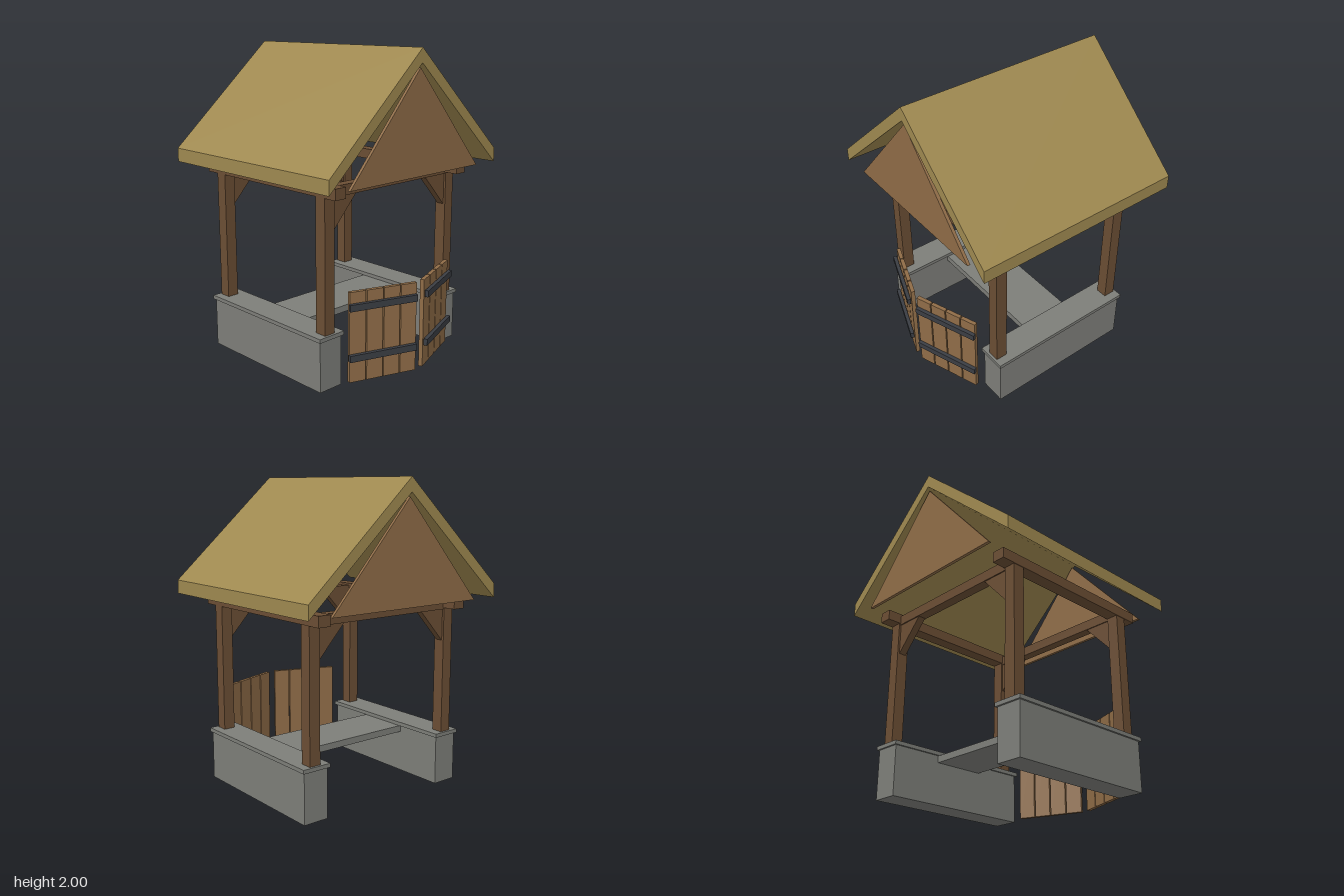
import * as THREE from 'three';

const mat = (name, color) => {
  const m = new THREE.MeshStandardMaterial({ color, flatShading: true });
  m.name = name;
  return m;
};

export function createModel() {
  const stone = mat('grey stone', 0x7d7e79);
  const timber = mat('dark timber', 0x6b4e34);
  const plank = mat('plank wood', 0x8f6c47);
  const thatch = mat('straw thatch', 0x9f8950);
  const iron = mat('black iron', 0x3a3d43);

  const model = new THREE.Group();
  model.name = 'lychgate';
  const body = new THREE.Group();
  body.name = 'shelter';
  body.position.z = -0.025;
  model.add(body);

  const add = (parent, name, geometry, material, x = 0, y = 0, z = 0) => {
    const mesh = new THREE.Mesh(geometry, material);
    mesh.name = name;
    mesh.position.set(x, y, z);
    parent.add(mesh);
    return mesh;
  };
  // Box given by its x, y and z ranges
  const box = (parent, name, material, [x0, x1], [y0, y1], [z0, z1]) =>
    add(parent, name, new THREE.BoxGeometry(x1 - x0, y1 - y0, z1 - z0), material,
      (x0 + x1) / 2, (y0 + y1) / 2, (z0 + z1) / 2);
  // Outline in x and y, extruded evenly about z
  const prism = (parent, name, material, points, depth, z) => {
    const shape = new THREE.Shape(points.map(([x, y]) => new THREE.Vector2(x, y)));
    const geometry = new THREE.ExtrudeGeometry(shape, { depth, bevelEnabled: false });
    return add(parent, name, geometry, material, 0, 0, z - depth / 2);
  };
  const span = (centre, size) => [centre - size / 2, centre + size / 2];

  for (const s of [-1, 1]) {
    // Low side walls with coping
    box(body, 'sideWall', stone, span(s * 0.54, 0.17), [0, 0.32], span(0, 1.025));
    box(body, 'wallCoping', stone, span(s * 0.54, 0.195), [0.32, 0.345], span(0, 1.05));
    // Wall plates carrying the roof
    box(body, 'wallPlate', timber, span(s * 0.543, 0.085), [1.175, 1.243], span(0, 1.2));

    for (const e of [-1, 1]) {
      // Corner posts and their braces
      box(body, 'post', timber, span(s * 0.543, 0.076), [0.345, 1.18], span(e * 0.47, 0.078));
      prism(body, 'brace', timber,
        [[s * 0.505, 0.96], [s * 0.505, 1.17], [s * 0.31, 1.17]], 0.05, e * 0.47);
    }
  }

  // Cross beams and gable boards at both ends
  for (const e of [-1, 1]) {
    box(body, 'crossBeam', timber, [-0.51, 0.51], [1.165, 1.23], span(e * 0.47, 0.065));
    prism(body, 'gable', plank, [[-0.57, 1.243], [0.57, 1.243], [0, 1.885]], 0.02, e * 0.692);
  }

  // Resting slab between the walls
  box(body, 'restingSlab', stone, [-0.46, 0.46], [0.275, 0.319], span(0, 0.35));

  // Pitched roof
  prism(body, 'roof', thatch, [
    [-0.742, 1.245], [0, 1.912], [0.742, 1.245], [0.742, 1.333], [0, 2], [-0.742, 1.333],
  ], 1.43, 0);

  // Pair of gates, hinged on the outer sides and ajar
  for (const s of [-1, 1]) {
    const gate = new THREE.Group();
    gate.name = s > 0 ? 'leftGate' : 'rightGate';
    gate.position.set(s * 0.446, 0, 0.536);
    gate.rotation.y = s * THREE.MathUtils.degToRad(20);
    model.add(gate);
    for (let i = 0; i < 4; i++) {
      box(gate, 'gateBoard', plank, span(-s * (0.053 + i * 0.114), 0.106), [0.033, 0.603], [0, 0.026]);
    }
    for (const y of [0.195, 0.513]) {
      box(gate, 'gateStrap', iron, span(-s * 0.217, 0.45), span(y, 0.042), [0.03, 0.054]);
    }
  }

  return model;
}
